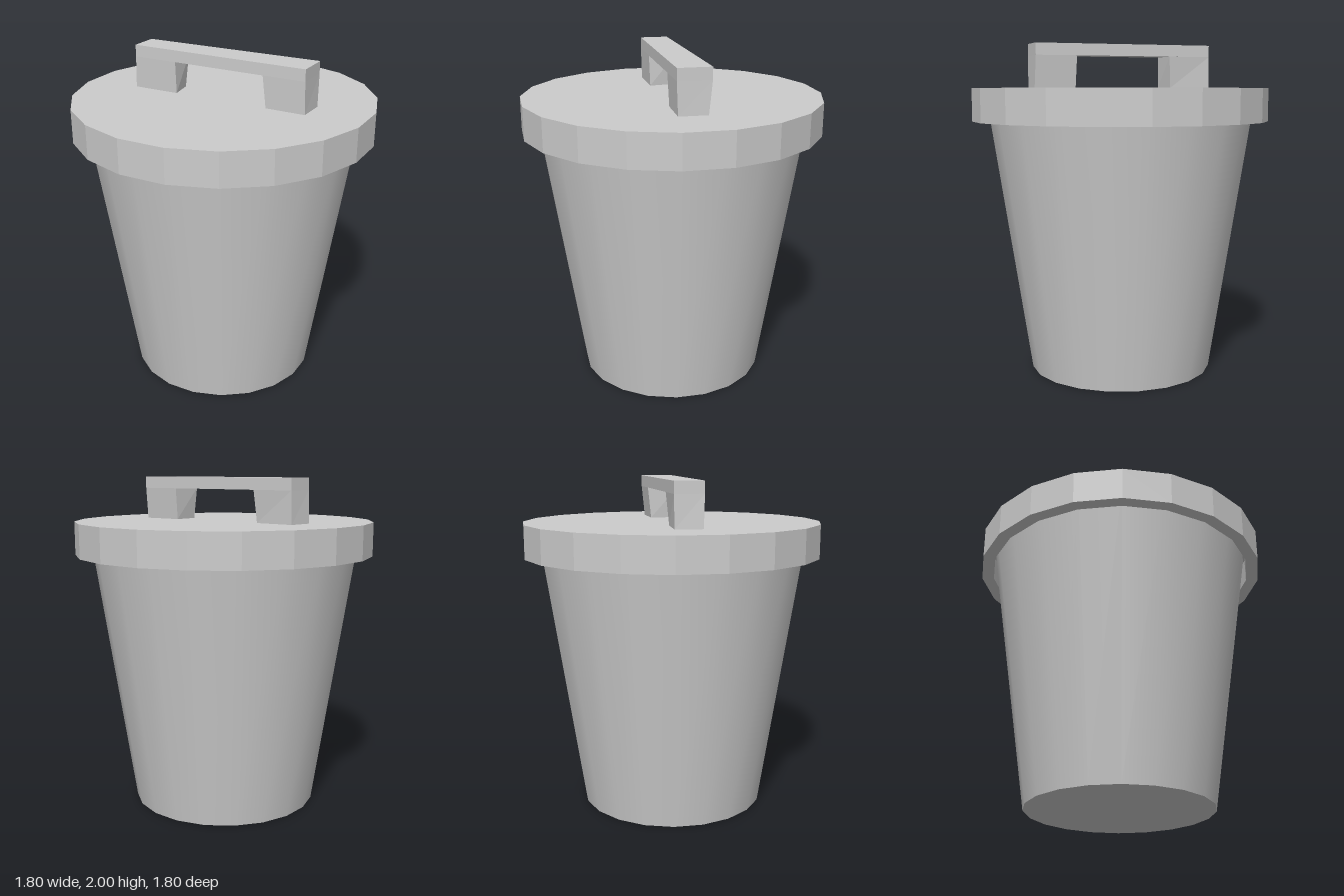
import * as THREE from 'three';

const SIDES = 20;
const smooth = new THREE.MeshStandardMaterial({ color: 0xcccccc, side: THREE.DoubleSide });
const flat = new THREE.MeshStandardMaterial({ color: 0xcccccc, flatShading: true, side: THREE.DoubleSide });

function part(name, geometry, material) {
  const mesh = new THREE.Mesh(geometry, material);
  mesh.name = name;
  return mesh;
}

// Block between a lower and an upper quad of [x, z] corners, listed from back left
// via front left and front right to back right.
function block(lower, y0, upper, y1) {
  const points = [...lower.map(([x, z]) => [x, y0, z]), ...upper.map(([x, z]) => [x, y1, z])];
  const index = [4, 5, 6, 4, 6, 7, 0, 2, 1, 0, 3, 2];
  for (let i = 0; i < 4; i++) {
    const j = (i + 1) % 4;
    index.push(i, j, j + 4, i, j + 4, i + 4);
  }
  const geometry = new THREE.BufferGeometry();
  geometry.setAttribute('position', new THREE.Float32BufferAttribute(points.flat(), 3));
  geometry.setIndex(index);
  const faceted = geometry.toNonIndexed();
  faceted.computeVertexNormals();
  return faceted;
}

export function createModel() {
  const model = new THREE.Group();
  model.name = 'trashCan';

  // Tapered body, open under the lid, with a flat base
  const body = new THREE.Group();
  body.name = 'body';
  const height = 1.67;
  const wall = part('bodyWall', new THREE.CylinderGeometry(0.815, 0.56, height, SIDES, 1, true), smooth);
  wall.position.y = height / 2;
  const base = part('bodyBase', new THREE.CircleGeometry(0.56, SIDES).rotateX(Math.PI / 2), smooth);
  body.add(wall, base);
  body.position.x = -0.004;
  model.add(body);

  // Lid: a shallow cap with a thick rim, hollow below
  const lidProfile = [[0, 1.69], [0.825, 1.69], [0.825, 1.54], [0.9, 1.54], [0.9, 1.74], [0, 1.74]]
    .map(([r, y]) => new THREE.Vector2(r, y));
  model.add(part('lid', new THREE.LatheGeometry(lidProfile, SIDES), flat));

  // Handle: a bar set diagonally on two slightly tapered legs
  const handle = new THREE.Group();
  handle.name = 'handle';
  const bar = [[-0.455, -0.33], [-0.535, -0.18], [0.45, 0.335], [0.54, 0.16]];
  handle.add(
    part('handleBar', block(bar, 1.93, bar, 2), flat),
    part('handleLegRight', block(
      [[-0.46, -0.33], [-0.54, -0.19], [-0.285, -0.06], [-0.24, -0.2]], 1.74,
      [bar[0], bar[1], [-0.29, -0.055], [-0.22, -0.21]], 1.93), flat),
    part('handleLegLeft', block(
      [[0.31, 0.07], [0.24, 0.215], [0.455, 0.33], [0.535, 0.18]], 1.74,
      [[0.315, 0.05], [0.22, 0.213], bar[2], bar[3]], 1.93), flat),
  );
  model.add(handle);
  return model;
}
